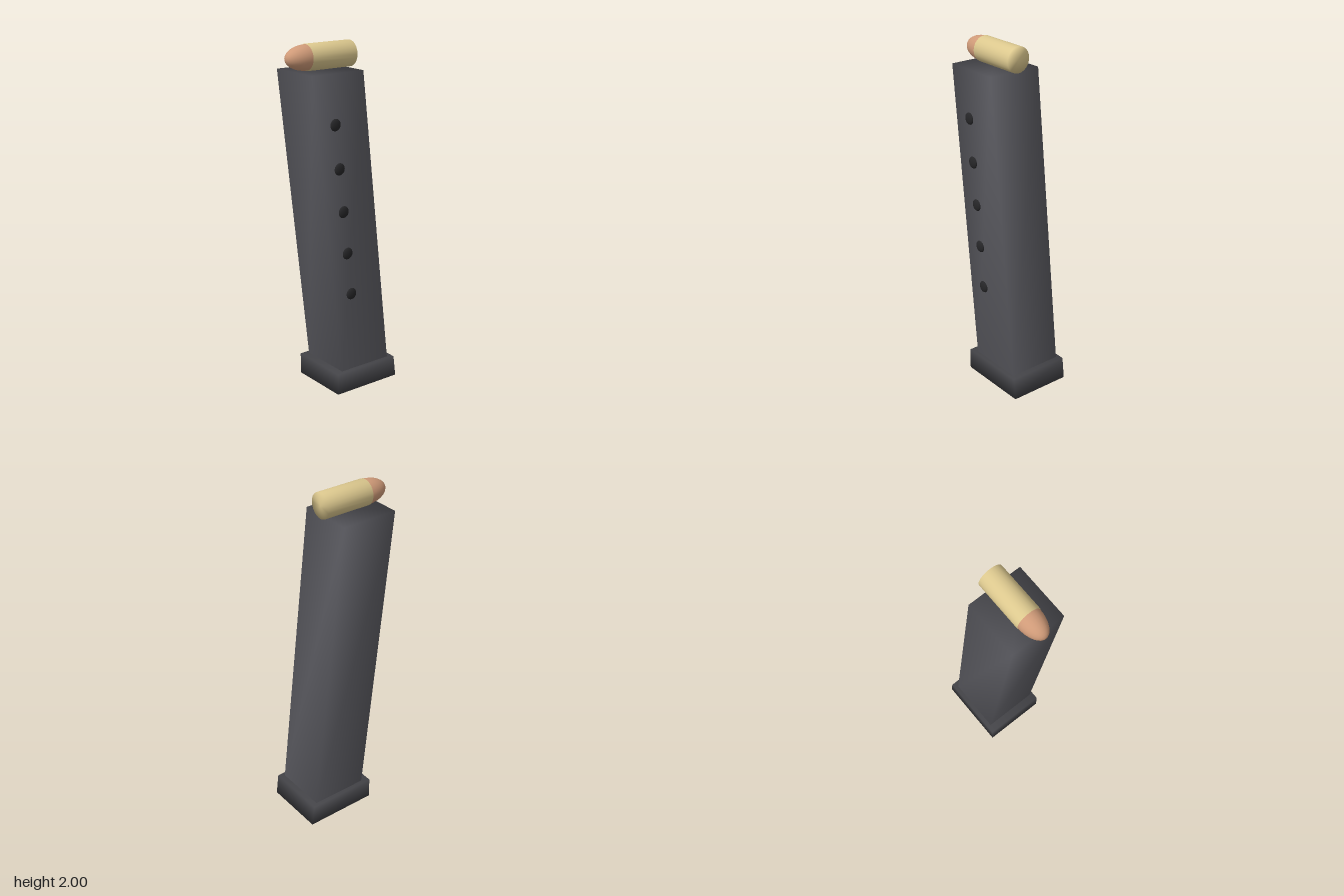
import * as THREE from 'three';
import { mergeVertices } from 'three/addons/utils/BufferGeometryUtils.js';

const paint = (color) => new THREE.MeshStandardMaterial({ color });

// Weld corners so that shading flows softly across the edges
function soften(geometry) {
  geometry.deleteAttribute('uv');
  geometry.deleteAttribute('normal');
  const welded = mergeVertices(geometry);
  welded.computeVertexNormals();
  return welded;
}

// Block whose lower and upper ends have their own z range
function slantedBlock(halfWidth, low, high) {
  const geometry = new THREE.BoxGeometry(1, 1, 1);
  const p = geometry.attributes.position;
  for (let i = 0; i < p.count; i++) {
    const end = p.getY(i) < 0 ? low : high;
    p.setXYZ(i, Math.sign(p.getX(i)) * halfWidth, end.y, p.getZ(i) < 0 ? end.back : end.front);
  }
  return soften(geometry);
}

export function createModel() {
  const model = new THREE.Group();
  const add = (name, geometry, material, parent = model) => {
    const mesh = new THREE.Mesh(geometry, material);
    mesh.name = name;
    parent.add(mesh);
    return mesh;
  };

  // Leaning case body and its floor plate
  add('body', slantedBlock(0.162,
    { y: 0.12, back: -0.274, front: 0.064 },
    { y: 1.855, back: -0.074, front: 0.264 }), paint(0x5a5a60));
  add('basePlate', slantedBlock(0.185,
    { y: 0, back: -0.322, front: 0.11 },
    { y: 0.125, back: -0.306, front: 0.11 }), paint(0x434347));

  // Row of witness holes along the left side, following the lean
  const holes = new THREE.Group();
  holes.name = 'witnessHoles';
  model.add(holes);
  const holeGeometry = new THREE.SphereGeometry(0.034, 16, 12);
  const holeMaterial = paint(0x262628);
  for (let i = 0; i < 5; i++) {
    const hole = add('witnessHole', holeGeometry, holeMaterial, holes);
    hole.scale.x = 0.4;
    hole.position.set(0.162, 0.592 + i * 0.247, i * 0.0285);
  }

  // Round lying on top, pointing forwards
  const round = new THREE.Group();
  round.name = 'round';
  round.position.y = 1.927;
  round.rotation.x = Math.PI / 2;
  model.add(round);
  const casing = add('casing', soften(new THREE.CylinderGeometry(0.073, 0.073, 0.293, 24)), paint(0xdcc88e), round);
  casing.position.y = 0.0415;
  const bullet = add('bulletTip', new THREE.SphereGeometry(0.07, 24, 8, 0, Math.PI * 2, 0, Math.PI / 2), paint(0xcf9a78), round);
  bullet.scale.y = 0.13 / 0.07;
  bullet.position.y = 0.188;

  return model;
}
